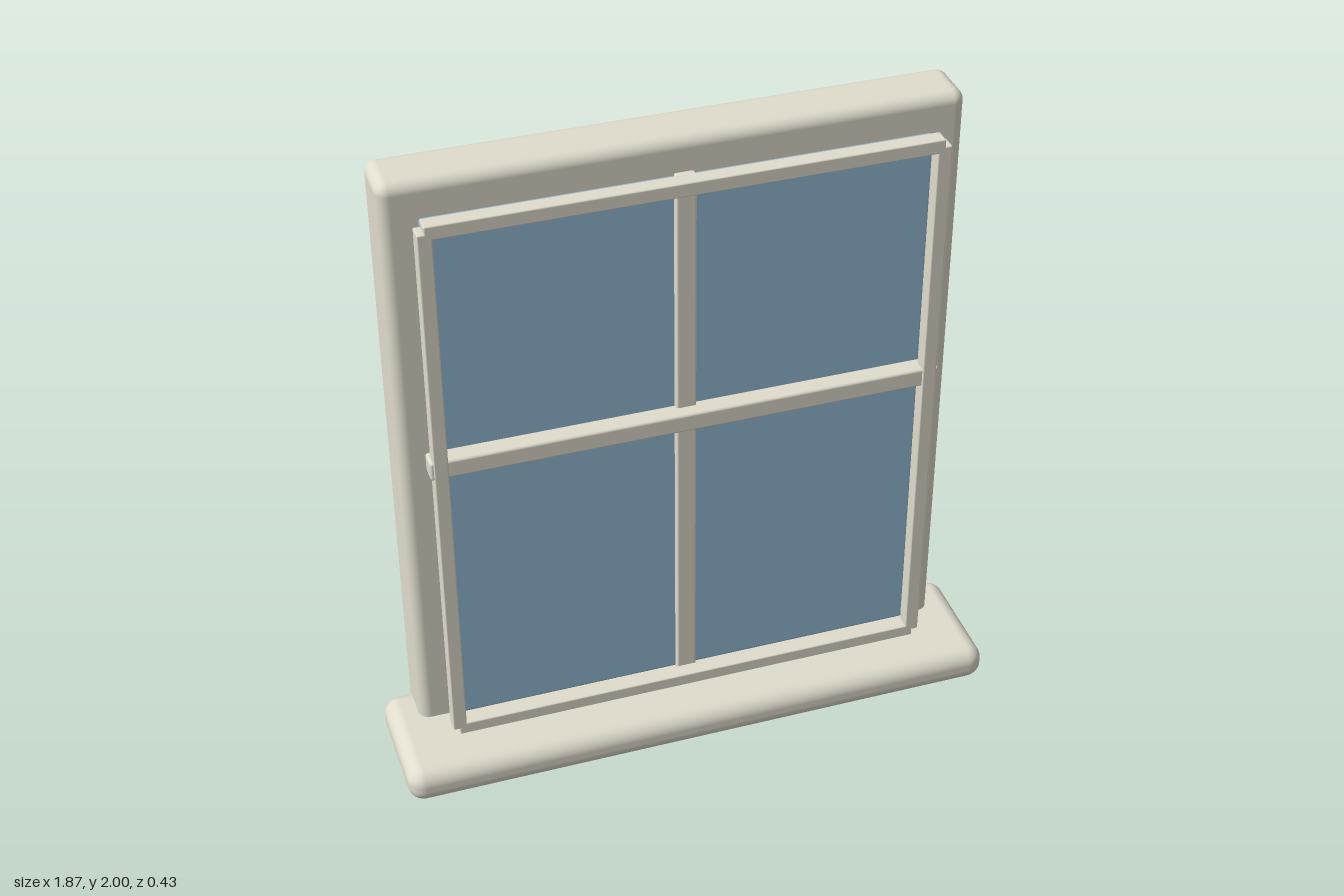
import * as THREE from 'three';
import { RoundedBoxGeometry } from 'three/addons/geometries/RoundedBoxGeometry.js';

const cream = new THREE.MeshStandardMaterial({ color: 0xe0dccd });
const blue = new THREE.MeshStandardMaterial({ color: 0x94bcd6 });

// Rounded box given by its [min, max] extent on each axis
function block(name, [x0, x1], [y0, y1], [z0, z1], radius, material = cream) {
  const geometry = new RoundedBoxGeometry(x1 - x0, y1 - y0, z1 - z0, 5, radius);
  const mesh = new THREE.Mesh(geometry, material);
  mesh.name = name;
  mesh.position.set((x0 + x1) / 2, (y0 + y1) / 2, (z0 + z1) / 2);
  return mesh;
}

export function createModel() {
  const model = new THREE.Group();
  model.name = 'window';

  // Thick backing slab and the projecting sill
  model.add(block('backing', [-0.84, 0.84], [0.025, 2], [-0.213, -0.04], 0.035));
  model.add(block('sill', [-0.933, 0.933], [0, 0.115], [-0.19, 0.213], 0.05));

  // Pane
  model.add(block('glass', [-0.735, 0.735], [0.135, 1.895], [-0.035, -0.006], 0.01, blue));

  // Outer sash: two stiles and two rails
  const sash = new THREE.Group();
  sash.name = 'sash';
  const depth = [0.014, 0.062];
  sash.add(block('leftStile', [0.718, 0.76], [0.135, 1.897], depth, 0.004));
  sash.add(block('rightStile', [-0.76, -0.718], [0.135, 1.897], depth, 0.004));
  sash.add(block('topRail', [-0.74, 0.74], [1.877, 1.92], depth, 0.004));
  sash.add(block('bottomRail', [-0.74, 0.74], [0.11, 0.153], depth, 0.004));
  model.add(sash);

  // Crossing glazing bars
  model.add(block('verticalBar', [-0.03, 0.03], [0.115, 1.915], [-0.012, 0.016], 0.006));
  model.add(block('horizontalBar', [-0.77, 0.77], [1.086, 1.146], [-0.005, 0.056], 0.008));

  return model;
}
